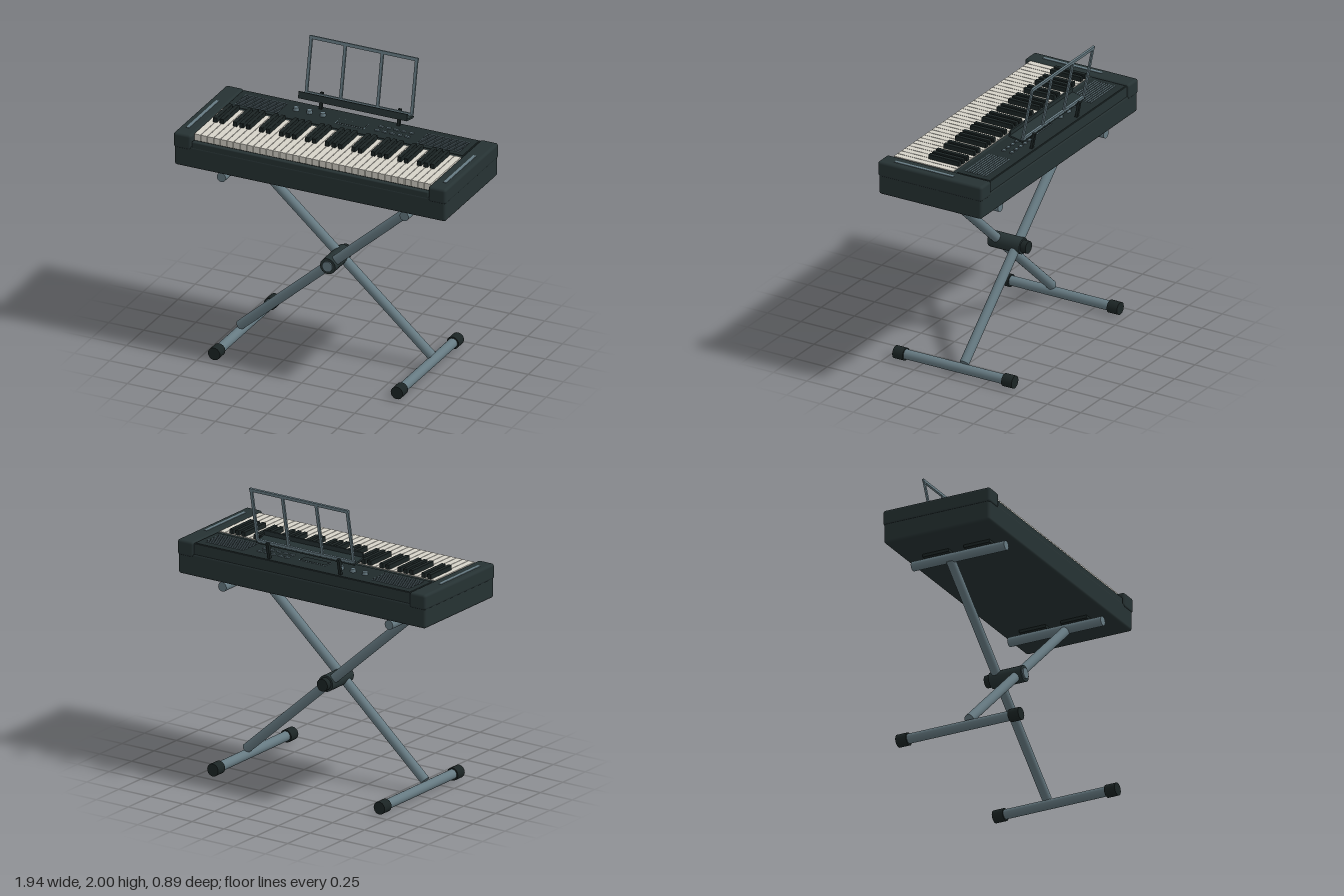
import * as THREE from 'three';
import { RoundedBoxGeometry } from 'three/addons/geometries/RoundedBoxGeometry.js';

const mat = (name, color) => Object.assign(new THREE.MeshStandardMaterial({ color }), { name });

export function createModel() {
  const model = new THREE.Group();
  model.name = 'keyboardOnStand';
  const shell = mat('darkShell', 0x263233);
  const panelDark = mat('panelDark', 0x202a2b);
  const black = mat('blackKey', 0x1b2424);
  const ivory = mat('whiteKey', 0xd6d3c9);
  const metal = mat('steelGrey', 0x667a82);

  const add = (parent, name, geo, material, x, y, z) => {
    const mesh = new THREE.Mesh(geo, material);
    mesh.name = name;
    mesh.position.set(x, y, z);
    parent.add(mesh);
    return mesh;
  };
  const box = (parent, name, m, w, h, d, x, y, z) =>
    add(parent, name, new THREE.BoxGeometry(w, h, d), m, x, y, z);
  const rounded = (parent, name, m, w, h, d, r, x, y, z) =>
    add(parent, name, new RoundedBoxGeometry(w, h, d, 3, r), m, x, y, z);
  // Cylinder between two points
  const rod = (parent, name, m, r, a, b, sides = 20) => {
    const from = new THREE.Vector3(...a), to = new THREE.Vector3(...b);
    const dir = to.clone().sub(from);
    const mid = from.clone().add(to).multiplyScalar(0.5);
    const mesh = add(parent, name, new THREE.CylinderGeometry(r, r, dir.length(), sides), m, mid.x, mid.y, mid.z);
    mesh.quaternion.setFromUnitVectors(new THREE.Vector3(0, 1, 0), dir.normalize());
    return mesh;
  };

  // Keyboard case
  const body = new THREE.Group();
  body.name = 'keyboard';
  model.add(body);
  rounded(body, 'lowerCase', shell, 1.935, 0.155, 0.77, 0.018, 0, 1.3775, 0);
  box(body, 'keyBed', panelDark, 1.69, 0.035, 0.46, 0, 1.46, 0.12);
  rounded(body, 'frontRail', shell, 1.69, 0.05, 0.036, 0.008, 0, 1.462, 0.365);
  box(body, 'controlPanel', shell, 1.69, 0.085, 0.28, 0, 1.48, -0.24);
  box(body, 'panelFace', panelDark, 1.68, 0.004, 0.245, 0, 1.524, -0.25);
  for (const s of [-1, 1]) {
    rounded(body, 'endCap', shell, 0.126, 0.105, 0.78, 0.018, s * 0.909, 1.4785, 0);
    box(body, 'endCapStrip', metal, 0.022, 0.004, 0.44, s * 0.918, 1.532, 0.07);
  }

  // Five octaves of keys plus a final white key
  const keys = new THREE.Group();
  keys.name = 'keys';
  body.add(keys);
  const whiteCount = 36, pitch = 1.69 / whiteCount;
  const whiteGeo = new THREE.BoxGeometry(pitch - 0.004, 0.045, 0.445);
  const blackGeo = new RoundedBoxGeometry(0.029, 0.075, 0.233, 2, 0.004);
  for (let i = 0; i < whiteCount; i++) {
    const x = -0.845 + i * pitch;
    add(keys, 'whiteKey', whiteGeo, ivory, x + pitch / 2, 1.5055, 0.122);
    if ([1, 2, 4, 5, 6].includes(i % 7)) add(keys, 'blackKey', blackGeo, black, x, 1.5225, 0.018);
  }

  // Speaker grilles
  for (const s of [-1, 1]) {
    for (let i = 0; i < 9; i++) {
      box(body, 'grilleSlat', metal, 0.3, 0.004, 0.006, s * 0.65, 1.527, -0.315 + i * 0.0185);
    }
  }

  // Display with a thin border, knobs and buttons
  box(body, 'displayBorder', metal, 0.208, 0.004, 0.07, 0, 1.526, -0.232);
  box(body, 'display', panelDark, 0.2, 0.006, 0.062, 0, 1.527, -0.232);
  for (const x of [-0.41, -0.315, -0.22]) {
    add(body, 'knob', new THREE.CylinderGeometry(0.018, 0.02, 0.025, 16), metal, x, 1.5365, -0.258);
  }
  for (let i = 0; i < 5; i++) {
    for (const z of [-0.275, -0.215]) {
      box(body, 'button', metal, 0.03, 0.01, 0.017, 0.188 + i * 0.054, 1.529, z);
    }
  }

  // Leaning music rest
  const rest = new THREE.Group();
  rest.name = 'musicRest';
  rest.position.set(0, 1.612, -0.335);
  rest.rotation.x = -0.195;
  model.add(rest);
  box(rest, 'ledge', shell, 0.775, 0.012, 0.105, 0, 0, 0.045);
  box(rest, 'ledgeLip', shell, 0.775, 0.045, 0.01, 0, 0.017, 0.093);
  box(rest, 'topBar', metal, 0.775, 0.022, 0.014, 0, 0.384, 0);
  box(rest, 'bottomBar', metal, 0.75, 0.018, 0.014, 0, 0.015, 0);
  for (const x of [-0.376, -0.132, 0.132, 0.376]) {
    box(rest, 'upright', metal, 0.02, 0.37, 0.012, x, 0.195, 0);
  }
  for (const s of [-1, 1]) {
    const bracket = box(model, 'restBracket', black, 0.02, 0.12, 0.018, s * 0.278, 1.576, -0.356);
    bracket.rotation.x = -0.195;
    box(model, 'restBracketArm', black, 0.02, 0.014, 0.04, s * 0.278, 1.607, -0.345);
  }

  // Crossed stand
  const stand = new THREE.Group();
  stand.name = 'stand';
  model.add(stand);
  for (const s of [-1, 1]) {
    const x = s * 0.652;
    rod(stand, 'leg', metal, 0.032, [-x, 0.085, s * 0.068], [x, 1.245, s * 0.068]);
    rod(stand, 'topTube', metal, 0.032, [x, 1.255, -0.34], [x, 1.255, 0.34]);
    rod(stand, 'footTube', metal, 0.033, [x, 0.044, -0.38], [x, 0.044, 0.38]);
    for (const e of [-1, 1]) {
      rod(stand, 'footCap', black, 0.043, [x, 0.043, e * 0.37], [x, 0.043, e * 0.447]);
      box(stand, 'supportPad', black, 0.096, 0.022, 0.19, s * 0.654, 1.291, e * 0.15);
    }
  }

  // Pivot hub with a front cap and a rear knob
  rod(stand, 'hub', shell, 0.055, [0, 0.665, -0.115], [0, 0.665, 0.122], 16);
  rod(stand, 'hubCap', metal, 0.036, [0, 0.665, 0.1], [0, 0.665, 0.131]);
  rod(stand, 'hubKnob', black, 0.042, [0, 0.665, -0.155], [0, 0.665, -0.11], 16);

  return model;
}
